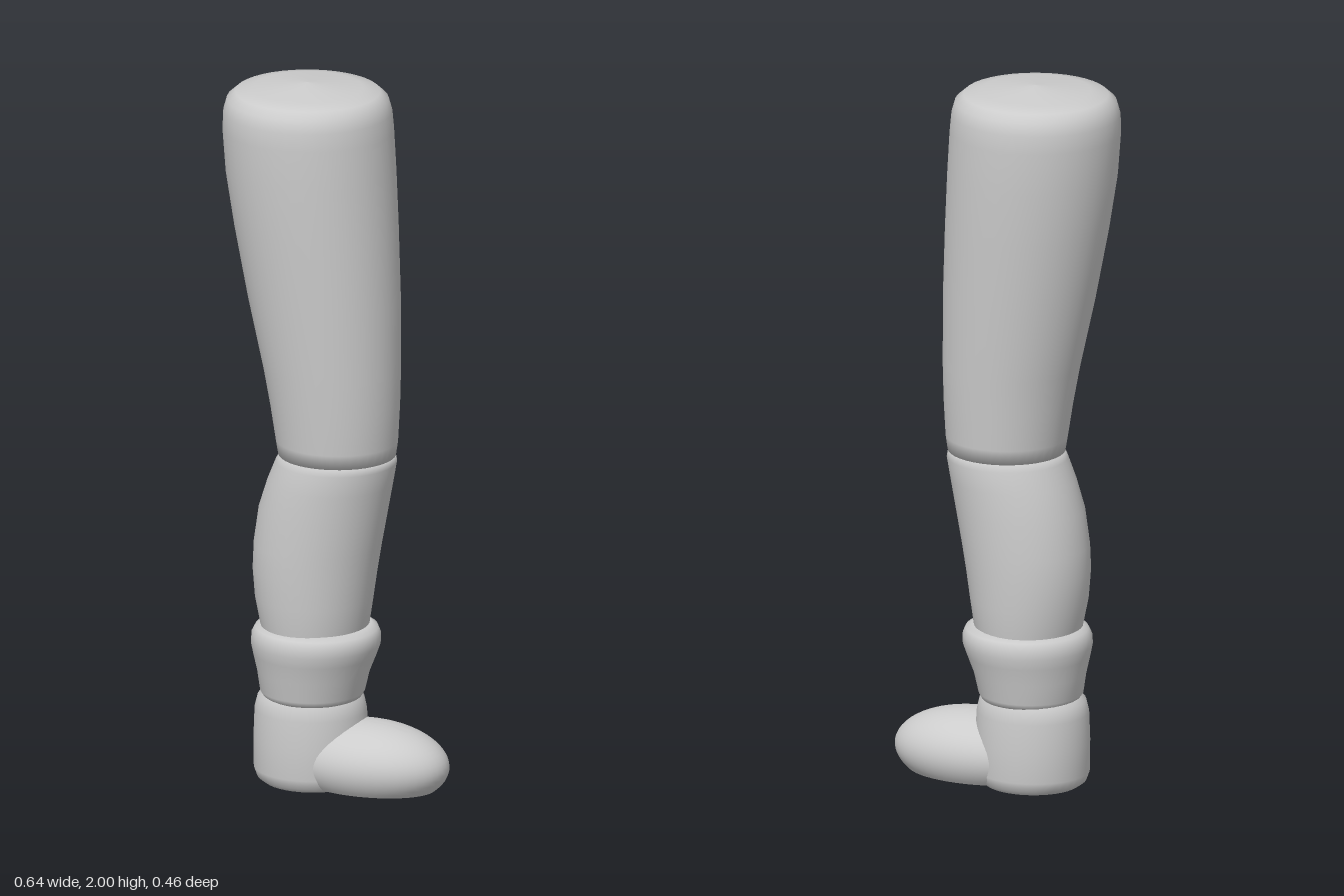
import * as THREE from 'three';
import { toCreasedNormals } from 'three/addons/utils/BufferGeometryUtils.js';

const SEGMENTS = 40;

// Smooth skin over oval rings, listed bottom to top as [y, xMin, xMax, zRadius]
function loft(rings) {
  const pos = [], index = [];
  rings.forEach(([y, x0, x1, rz]) => {
    for (let j = 0; j < SEGMENTS; j++) {
      const a = (j / SEGMENTS) * Math.PI * 2;
      pos.push((x0 + x1) / 2 + Math.cos(a) * (x1 - x0) / 2, y, Math.sin(a) * rz);
    }
  });
  for (let r = 0; r < rings.length - 1; r++) {
    for (let j = 0; j < SEGMENTS; j++) {
      const k = (j + 1) % SEGMENTS;
      const a = r * SEGMENTS + j, b = r * SEGMENTS + k;
      const c = a + SEGMENTS, d = b + SEGMENTS;
      index.push(a, c, b, b, c, d);
    }
  }
  const g = new THREE.BufferGeometry();
  g.setAttribute('position', new THREE.Float32BufferAttribute(pos, 3));
  g.setIndex(index);
  g.computeVertexNormals();
  return g;
}

export function createModel() {
  const group = new THREE.Group();
  group.name = 'leg';
  const grey = new THREE.MeshStandardMaterial({ color: 0xcccccc });
  grey.name = 'light grey';

  const add = (name, geometry) => {
    const mesh = new THREE.Mesh(geometry, grey);
    mesh.name = name;
    group.add(mesh);
    return mesh;
  };

  // Upper leg, tapering to the knee, with a shallow domed top
  add('thigh', loft([
    [0.965, -0.01, 0.01, 0.01],
    [0.96, -0.163, 0.158, 0.157],
    [1.0, -0.17, 0.164, 0.161],
    [1.1, -0.186, 0.169, 0.17],
    [1.2, -0.205, 0.171, 0.179],
    [1.4, -0.25, 0.169, 0.197],
    [1.6, -0.289, 0.161, 0.213],
    [1.75, -0.313, 0.153, 0.224],
    [1.87, -0.322, 0.145, 0.228],
    [1.92, -0.32, 0.14, 0.226],
    [1.955, -0.31, 0.13, 0.217],
    [1.975, -0.287, 0.107, 0.195],
    [1.985, -0.24, 0.06, 0.15],
    [2.0, -0.091, -0.089, 0.001],
  ]));

  // Lower leg with the calf bulging backwards
  add('shin', loft([
    [0.4, -0.2, 0.06, 0.14],
    [0.48, -0.217, 0.08, 0.153],
    [0.55, -0.232, 0.091, 0.159],
    [0.63, -0.239, 0.103, 0.163],
    [0.7, -0.236, 0.115, 0.165],
    [0.8, -0.221, 0.134, 0.166],
    [0.88, -0.195, 0.149, 0.165],
    [0.94, -0.17, 0.16, 0.163],
    [0.963, -0.158, 0.156, 0.155],
    [0.97, -0.01, 0.01, 0.01],
  ]));

  // Flared cuff of the boot
  add('cuff', loft([
    [0.275, -0.08, -0.07, 0.005],
    [0.27, -0.208, 0.058, 0.136],
    [0.285, -0.218, 0.067, 0.143],
    [0.34, -0.226, 0.08, 0.152],
    [0.39, -0.237, 0.1, 0.166],
    [0.42, -0.243, 0.111, 0.173],
    [0.445, -0.241, 0.112, 0.172],
    [0.464, -0.231, 0.104, 0.164],
    [0.475, -0.21, 0.085, 0.147],
    [0.476, -0.07, -0.06, 0.005],
  ]));

  // Ankle and heel
  add('heel', loft([
    [0.0, -0.081, -0.079, 0.001],
    [0.017, -0.16, 0.0, 0.08],
    [0.027, -0.21, 0.052, 0.125],
    [0.04, -0.228, 0.068, 0.14],
    [0.065, -0.237, 0.077, 0.148],
    [0.15, -0.238, 0.077, 0.149],
    [0.23, -0.235, 0.073, 0.146],
    [0.265, -0.226, 0.065, 0.14],
    [0.28, -0.205, 0.05, 0.128],
  ]));

  // Rounded toe with a flat sole
  const toe = new THREE.SphereGeometry(1, 48, 32);
  toe.scale(0.232, 0.115, 0.15);
  toe.translate(0.09, 0.1, 0);
  const p = toe.attributes.position;
  for (let i = 0; i < p.count; i++) p.setY(i, Math.max(p.getY(i), 0.036));
  add('toe', toCreasedNormals(toe, 0.5));

  return group;
}
